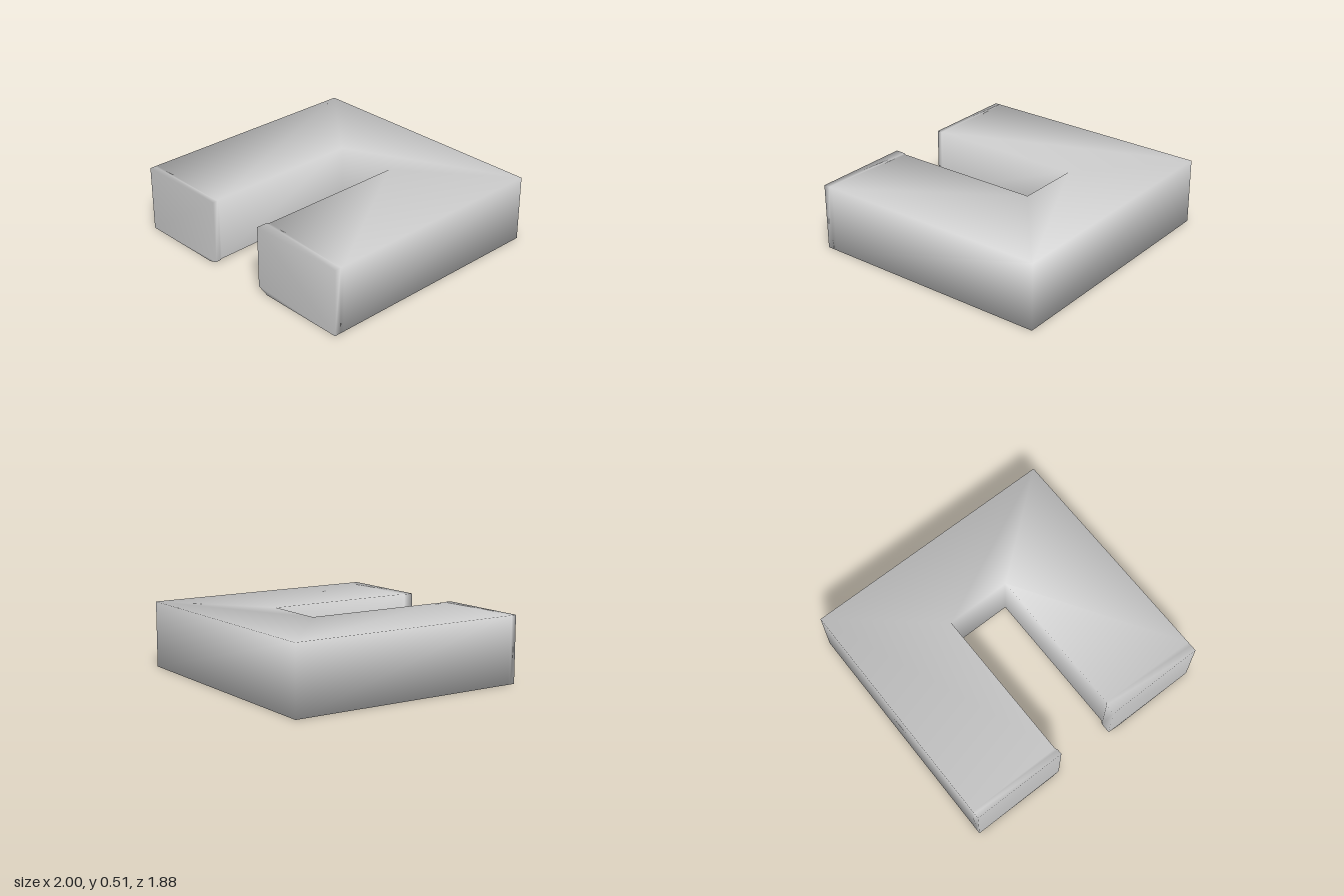
import * as THREE from 'three';

const HEIGHT = 0.51;

// Stations along the U: outer x, z; inner x, z; chamfer foot x, z; chamfer height
const STATIONS = [
  [1, 0.94, 0.225, 0.94, 0.31, 0.94, 0.035],
  [1, 0.89, 0.225, 0.86, 0.31, 0.86, 0.035],
  [1, 0.86, 0.24, 0.84, 0.31, 0.84, 0.035],
  [1, -0.945, 0.24, -0.33, 0.3, -0.39, 0.035],
  [-1, -0.945, -0.265, -0.33, -0.32, -0.39, 0.035],
  [-1, 0.88, -0.265, 0.88, -0.32, 0.88, 0.02],
  [-1, 0.9, -0.255, 0.9, -0.32, 0.9, 0.02],
  [-1, 0.94, -0.255, 0.94, -0.32, 0.94, 0.02],
];

// Cross-section: outer bottom, outer top, inner top, chamfer top, chamfer foot
function section([ox, oz, ix, iz, cx, cz, h]) {
  return [ox, 0, oz, ox, HEIGHT, oz, ix, HEIGHT, iz, ix, h, iz, cx, 0, cz];
}

function sweep(stations) {
  const n = 5;
  const positions = stations.flatMap(section);
  const index = [];
  for (let s = 0; s < stations.length - 1; s++) {
    for (let k = 0; k < n; k++) {
      const a = s * n + k;
      const b = s * n + ((k + 1) % n);
      index.push(a, a + n, b + n, a, b + n, b);
    }
  }
  // Flat end faces of the two arms
  const end = (stations.length - 1) * n;
  for (let k = 1; k < n - 1; k++) {
    index.push(0, k, k + 1, end, end + k + 1, end + k);
  }
  const geometry = new THREE.BufferGeometry();
  geometry.setAttribute('position', new THREE.Float32BufferAttribute(positions, 3));
  geometry.setIndex(index);
  geometry.computeVertexNormals(); // shared corners give the soft shading
  return geometry;
}

export function createModel() {
  const group = new THREE.Group();
  group.name = 'uShapedBlock';
  const body = new THREE.Mesh(
    sweep(STATIONS),
    new THREE.MeshStandardMaterial({ color: 0xcccccc })
  );
  body.name = 'body';
  group.add(body);
  return group;
}
